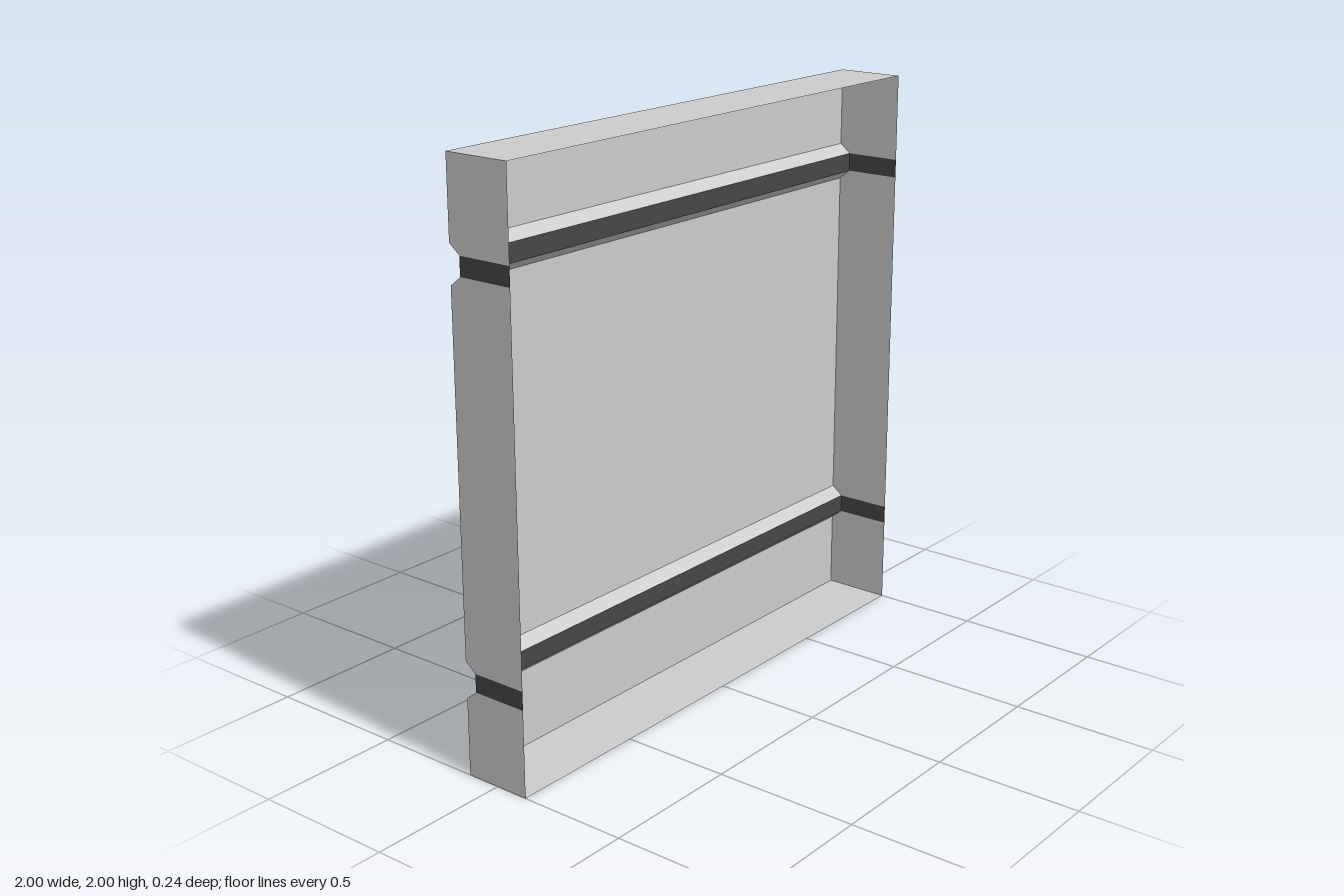
import * as THREE from 'three';

const HALF_W = 1, FRONT = 0.12, BACK = -0.12, GROOVE = -0.08;

// Flat quads, corners counter-clockwise seen from outside
function quadMesh(name, quads, material) {
  const pos = [];
  for (const [a, b, c, d] of quads) pos.push(...a, ...b, ...c, ...a, ...c, ...d);
  const geometry = new THREE.BufferGeometry();
  geometry.setAttribute('position', new THREE.Float32BufferAttribute(pos, 3));
  geometry.computeVertexNormals();
  const mesh = new THREE.Mesh(geometry, material);
  mesh.name = name;
  return mesh;
}

// One height band of the open-fronted shell: back face plus both side walls
function shellBand([y0, z0], [y1, z1]) {
  const w = HALF_W;
  return [
    [[w, y0, z0], [-w, y0, z0], [-w, y1, z1], [w, y1, z1]],
    [[w, y0, FRONT], [w, y0, z0], [w, y1, z1], [w, y1, FRONT]],
    [[-w, y0, z0], [-w, y0, FRONT], [-w, y1, FRONT], [-w, y1, z1]],
  ];
}

// Horizontal plate closing the shell; up selects the facing
function endPlate(y, up) {
  const w = HALF_W;
  const q = [[-w, y, FRONT], [w, y, FRONT], [w, y, BACK], [-w, y, BACK]];
  return up ? q : q.reverse();
}

export function createModel() {
  const panelGray = new THREE.MeshStandardMaterial({ color: 0xcccccc, side: THREE.DoubleSide });
  panelGray.name = 'panelGray';
  const stripeDark = new THREE.MeshStandardMaterial({ color: 0x464646, side: THREE.DoubleSide });
  stripeDark.name = 'stripeDark';

  const group = new THREE.Group();
  group.name = 'wallPanel';

  // Back profile from bottom to top, with a bevelled groove at each stripe
  const profile = [[0, BACK]];
  for (const y of [1 / 3, 5 / 3]) {
    profile.push([y - 0.064, BACK], [y - 0.032, GROOVE], [y + 0.032, GROOVE], [y + 0.064, BACK]);
  }
  profile.push([2, BACK]);

  const panels = [endPlate(0, false), endPlate(2, true)];
  const stripes = [];
  for (let i = 0; i < profile.length - 1; i++) {
    const a = profile[i], b = profile[i + 1];
    const isStripe = a[1] === GROOVE && b[1] === GROOVE;
    (isStripe ? stripes : panels).push(...shellBand(a, b));
  }

  group.add(quadMesh('panelShell', panels, panelGray));
  group.add(quadMesh('grooveStripes', stripes, stripeDark));
  return group;
}
